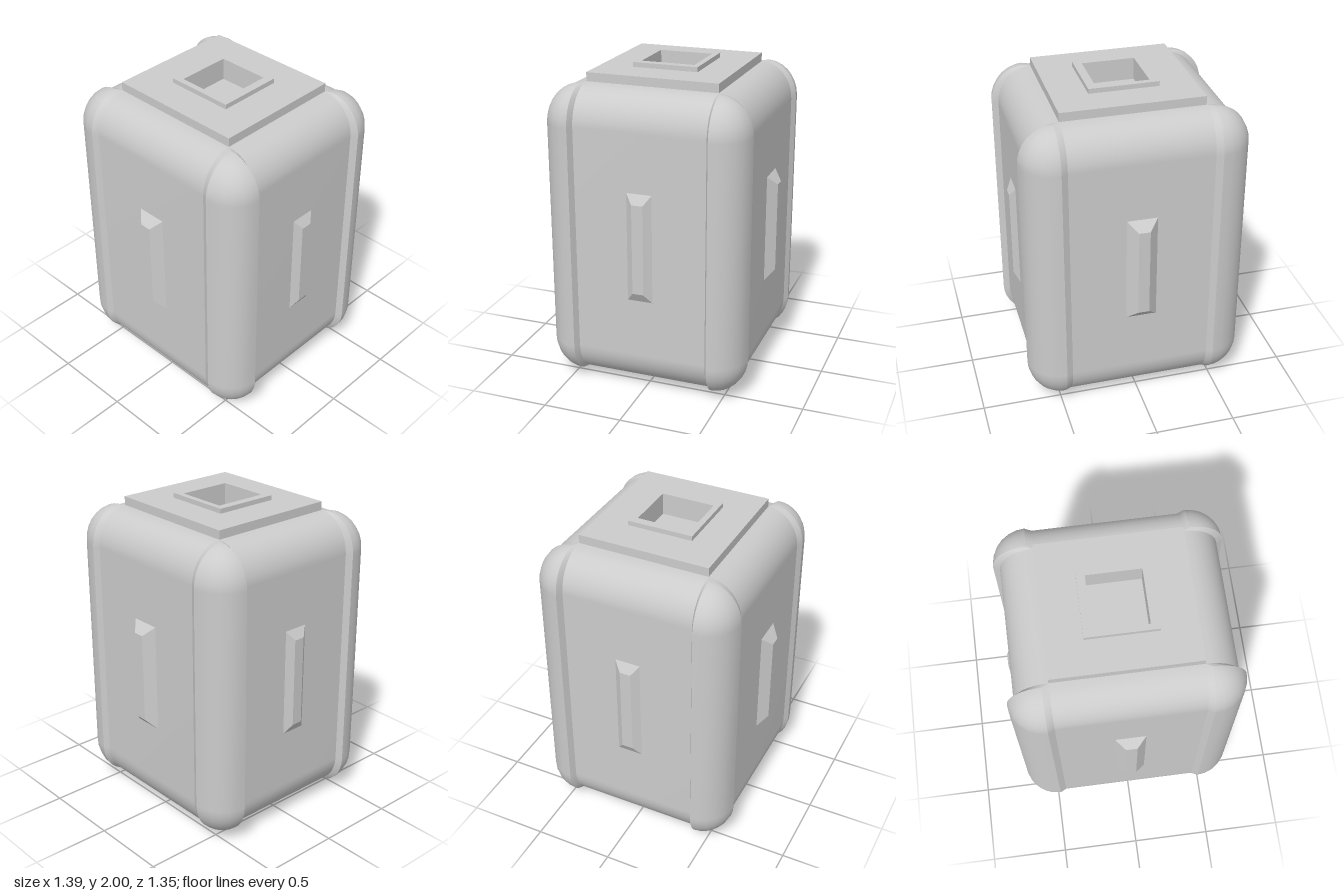
import * as THREE from 'three';

const material = new THREE.MeshStandardMaterial({ color: 0xcccccc });

// Body measures: panel corner, post centre, rounding radii, straight part of the height
const PX = 0.44, PZ = 0.415, CX = 0.48, CZ = 0.435;
const RX = 0.215, RY = 0.23, RZ = 0.205, Y0 = 0.265, Y1 = 1.685;
const ARC = 8;

// Levels from bottom to top: rounded bottom, straight wall, rounded top
const levels = [];
for (let i = 0; i <= ARC; i++) {
  const a = (1 - i / ARC) * Math.PI / 2;
  levels.push({ y: Y0 - RY * Math.sin(a), c: Math.cos(a) });
}
for (let i = 0; i <= ARC; i++) {
  const a = (i / ARC) * Math.PI / 2;
  levels.push({ y: Y1 + RY * Math.sin(a), c: Math.cos(a) });
}

function addMesh(parent, name, geometry) {
  const mesh = new THREE.Mesh(geometry, material);
  mesh.name = name;
  parent.add(mesh);
  return mesh;
}

// Surface through one section per level; section(c) gives [x, z] points left to right seen from outside
function loft(section, sx = 1, sz = 1) {
  const pos = [], index = [];
  let n = 0;
  levels.forEach(({ y, c }) => {
    const pts = section(c);
    if (sx * sz < 0) pts.reverse();
    n = pts.length;
    pts.forEach(([x, z]) => pos.push(x * sx, y, z * sz));
  });
  for (let j = 0; j < levels.length - 1; j++) {
    for (let i = 0; i < n - 1; i++) {
      const a = j * n + i, b = a + 1, d = a + n, e = d + 1;
      index.push(a, b, e, a, e, d);
    }
  }
  const g = new THREE.BufferGeometry();
  g.setAttribute('position', new THREE.Float32BufferAttribute(pos, 3));
  g.setIndex(index);
  g.computeVertexNormals();
  return g;
}

// Rectangular frame lying flat between two heights
function frame(w, d, holeW, holeD, yLow, yHigh) {
  const rect = (target, x, z) => target.moveTo(-x, -z).lineTo(x, -z).lineTo(x, z).lineTo(-x, z).closePath();
  const shape = rect(new THREE.Shape(), w, d);
  shape.holes.push(rect(new THREE.Path(), holeW, holeD));
  const g = new THREE.ExtrudeGeometry(shape, { depth: yHigh - yLow, bevelEnabled: false });
  return g.rotateX(-Math.PI / 2).translate(0, yLow, 0);
}

// Raised bar with sloping sides
function ridge(width, height, depth, topWidth, topHeight) {
  const g = new THREE.BoxGeometry(width, height, depth).translate(0, 0, depth / 2);
  const p = g.attributes.position;
  for (let i = 0; i < p.count; i++) {
    if (p.getZ(i) > depth / 2) {
      p.setX(i, Math.sign(p.getX(i)) * topWidth / 2);
      p.setY(i, Math.sign(p.getY(i)) * topHeight / 2);
    }
  }
  g.computeVertexNormals();
  return g;
}

export function createModel() {
  const root = new THREE.Group();
  root.name = 'container';

  // Four wall panels, rounded over at top and bottom
  const panels = new THREE.Group();
  panels.name = 'wallPanels';
  root.add(panels);
  const frontSection = c => [[-PX, PZ + RZ * c], [PX, PZ + RZ * c]];
  const sideSection = c => [[PX + RX * c, PZ], [PX + RX * c, -PZ]];
  addMesh(panels, 'frontPanel', loft(frontSection));
  addMesh(panels, 'backPanel', loft(frontSection, 1, -1));
  addMesh(panels, 'leftPanel', loft(sideSection));
  addMesh(panels, 'rightPanel', loft(sideSection, -1, 1));

  // Corner posts with rounded ends and narrow bevels down to the panels
  const postSection = c => Array.from({ length: 7 }, (_, i) => {
    const a = (i / 6) * Math.PI / 2;
    return [CX + RX * c * Math.sin(a), CZ + RZ * c * Math.cos(a)];
  });
  const bevelZ = c => [[PX, PZ + RZ * c], [CX, CZ + RZ * c]];
  const bevelX = c => [[CX + RX * c, CZ], [PX + RX * c, PZ]];
  for (const sx of [1, -1]) {
    for (const sz of [1, -1]) {
      const corner = new THREE.Group();
      corner.name = (sz > 0 ? 'front' : 'back') + (sx > 0 ? 'Left' : 'Right') + 'CornerPost';
      addMesh(corner, 'post', loft(postSection, sx, sz));
      addMesh(corner, 'faceBevel', loft(bevelZ, sx, sz));
      addMesh(corner, 'sideBevel', loft(bevelX, sx, sz));
      root.add(corner);
    }
  }

  // Top plate with a raised rim around a square socket
  addMesh(root, 'topPlate', frame(PX, PZ, 0.19, 0.19, 1.9, 1.97));
  addMesh(root, 'socketRim', frame(0.217, 0.207, 0.165, 0.17, 1.86, 2));
  addMesh(root, 'socketFloor', new THREE.BoxGeometry(0.42, 0.02, 0.4)).position.y = 1.85;

  // Base frame with a recessed underside
  addMesh(root, 'baseFrame', frame(PX, PZ, 0.375, 0.35, 0, 0.09));
  addMesh(root, 'baseFloor', new THREE.BoxGeometry(0.84, 0.02, 0.8)).position.y = 0.1;

  // Raised bar on each wall
  const bars = [['front', 0, 1], ['left', 1, 0], ['back', 0, -1], ['right', -1, 0]];
  for (const [side, x, z] of bars) {
    const g = x ? ridge(0.16, 0.69, 0.035, 0.07, 0.57) : ridge(0.19, 0.69, 0.055, 0.07, 0.57);
    const bar = addMesh(root, side + 'Bar', g);
    bar.position.set(x * (PX + RX), 0.977, z * (PZ + RZ));
    bar.rotation.y = Math.atan2(x, z);
  }
  return root;
}
